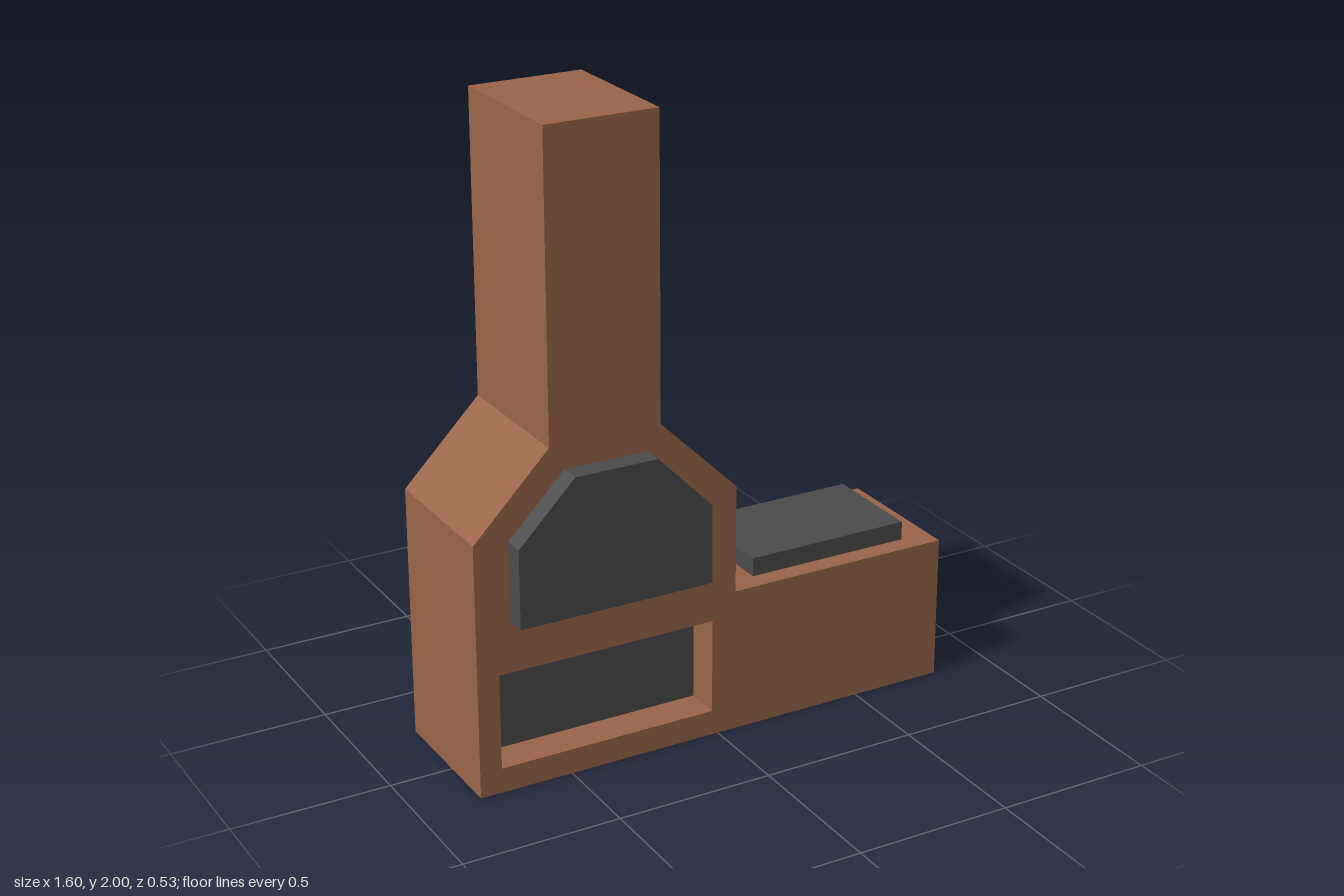
import * as THREE from 'three';

const brick = new THREE.MeshStandardMaterial({ color: 0x9a6549, side: THREE.DoubleSide });
brick.name = 'brick';
const iron = new THREE.MeshStandardMaterial({ color: 0x4c4c4c, side: THREE.DoubleSide });
iron.name = 'dark iron';

const BACK = -0.265, FRONT = 0.2;

const toShape = (points) => new THREE.Shape(points.map(([x, y]) => new THREE.Vector2(x, y)));

// Flat-shaded strip of walls joining a run of x, y points between two depths
function wallStrip(points, z0, z1) {
  const pos = [];
  for (let i = 0; i < points.length - 1; i++) {
    const [ax, ay] = points[i], [bx, by] = points[i + 1];
    pos.push(ax, ay, z0, bx, by, z0, bx, by, z1);
    pos.push(ax, ay, z0, bx, by, z1, ax, ay, z1);
  }
  const geometry = new THREE.BufferGeometry();
  geometry.setAttribute('position', new THREE.Float32BufferAttribute(pos, 3));
  geometry.computeVertexNormals();
  return geometry;
}

export function createModel() {
  const model = new THREE.Group();
  model.name = 'outdoorFireplace';
  const add = (name, geometry, material, parent = model) => {
    const mesh = new THREE.Mesh(geometry, material);
    mesh.name = name;
    parent.add(mesh);
    return mesh;
  };

  // Brick shell: bench, hearth, sloped shoulders and chimney, open underneath
  const outline = [
    [0.8, 0], [0.8, 0.465], [0.06, 0.465], [0.06, 0.81], [-0.195, 1.06], [-0.195, 2],
    [-0.555, 2], [-0.555, 1.06], [-0.8, 0.81], [-0.8, 0],
  ];
  // Niche corners, clockwise so that its walls face inward
  const niche = [[-0.73, 0.08], [-0.73, 0.385], [-0.02, 0.385], [-0.02, 0.08]];
  const nicheBack = FRONT - 0.115;

  const body = new THREE.Group();
  body.name = 'brickBody';
  model.add(body);

  const frontShape = toShape(outline);
  frontShape.holes.push(new THREE.Path(niche.map(([x, y]) => new THREE.Vector2(x, y))));
  add('frontWall', new THREE.ShapeGeometry(frontShape), brick, body).position.z = FRONT;

  const backWall = new THREE.ShapeGeometry(toShape(outline.map(([x, y]) => [-x, y])));
  backWall.rotateY(Math.PI);
  add('backWall', backWall, brick, body).position.z = BACK;
  add('outerWalls', wallStrip(outline, BACK, FRONT), brick, body);

  // Wood niche with a dark back panel
  add('nicheWalls', wallStrip([...niche, niche[0]], nicheBack, FRONT), brick, body);
  add('nichePanel', new THREE.PlaneGeometry(0.71, 0.305), iron).position.set(-0.375, 0.2325, nicheBack);

  // Oven door with clipped upper corners
  const door = toShape([
    [-0.69, 0.55], [-0.06, 0.55], [-0.06, 0.8], [-0.24, 0.985], [-0.508, 0.985], [-0.69, 0.8],
  ]);
  add('ovenDoor', new THREE.ExtrudeGeometry(door, { depth: 0.067, bevelEnabled: false }), iron)
    .position.z = FRONT;

  // Cooking plate on the bench
  add('cookingPlate', new THREE.BoxGeometry(0.543, 0.06, 0.34), iron).position.set(0.43, 0.495, -0.034);

  return model;
}
